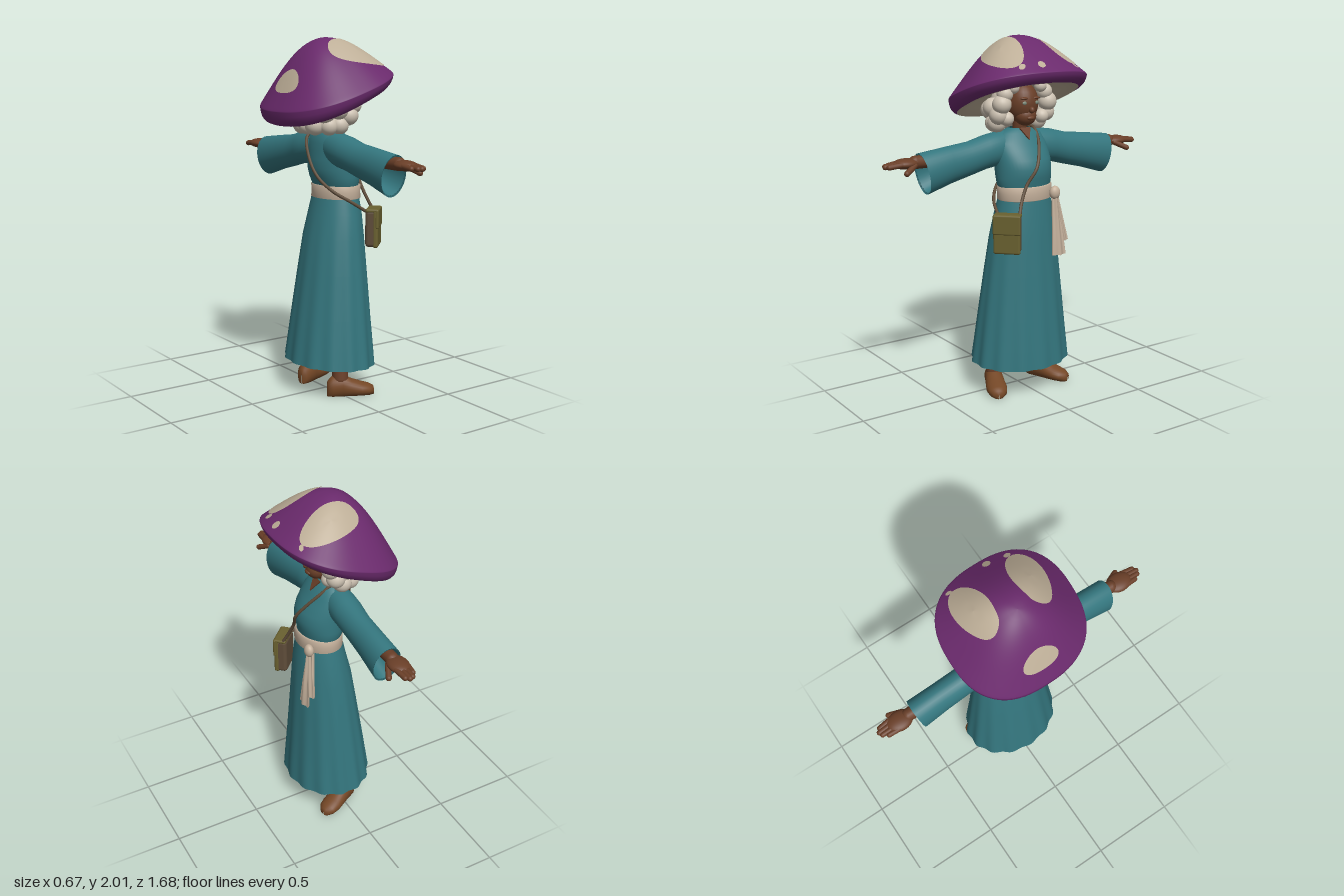
import * as THREE from 'three';
import { RoundedBoxGeometry } from 'three/addons/geometries/RoundedBoxGeometry.js';

const mat = (name, color, side = THREE.FrontSide) => {
  const m = new THREE.MeshStandardMaterial({ color, side });
  m.name = name;
  return m;
};
const V = (x, y, z) => new THREE.Vector3(x, y, z);

export function createModel() {
  const teal = mat('teal cloth', 0x34767e, THREE.DoubleSide);
  const purple = mat('purple cap', 0x6a2a6c);
  const cream = mat('cream cap', 0xbdae97);
  const hairMat = mat('pale hair', 0xcdc2b2);
  const skin = mat('brown skin', 0x6a3f28);
  const shoeMat = mat('brown shoe', 0x744726);
  const olive = mat('olive canvas', 0x6a6130);
  const leather = mat('leather', 0x5f4d3a);
  const linen = mat('linen', 0xc4b09b);
  const eyeMat = mat('grey green eye', 0x7e8c7c);

  // The figure is modelled facing +z, then turned to face +x
  const figure = new THREE.Group();
  figure.name = 'figure';
  figure.rotation.y = Math.PI / 2;
  const root = new THREE.Group();
  root.add(figure);

  const add = (name, geo, material, parent = figure) => {
    const m = new THREE.Mesh(geo, material);
    m.name = name;
    parent.add(m);
    return m;
  };
  // Closed-ring loft: point(ring, angle) gives each position
  const loft = (name, rings, seg, point, material, parent) => {
    const pos = [], idx = [];
    rings.forEach((ring, i) => {
      for (let j = 0; j < seg; j++) {
        pos.push(...point(ring, j / seg * Math.PI * 2).toArray());
        if (i === rings.length - 1) continue;
        const a = i * seg + j, b = i * seg + (j + 1) % seg;
        idx.push(a, b, a + seg, b, b + seg, a + seg);
      }
    });
    const g = new THREE.BufferGeometry();
    g.setAttribute('position', new THREE.Float32BufferAttribute(pos, 3));
    g.setIndex(idx);
    g.computeVertexNormals();
    return add(name, g, material, parent);
  };
  const ball = (name, material, p, s, parent) => {
    const m = add(name, new THREE.SphereGeometry(1, 24, 16), material, parent);
    m.position.set(...p);
    m.scale.set(...s);
    return m;
  };
  const limb = (name, material, a, b, r) => {
    const d = b.clone().sub(a);
    const m = add(name, new THREE.CapsuleGeometry(r, d.length(), 6, 14), material);
    m.position.copy(a).addScaledVector(d, 0.5);
    m.quaternion.setFromUnitVectors(V(0, 1, 0), d.normalize());
    return m;
  };

  // Mushroom hat: tilted rounded-square dome with a rolled rim
  const domeHeight = r => 0.26 * Math.pow(Math.max(0, Math.cos(r * Math.PI / 2)), 1.15)
    + 0.036 * Math.sqrt(Math.max(0, 1 - r * r));
  const hatPoint = (r, a, h) => {
    const s = r / Math.pow(Math.abs(Math.sin(a)) ** 2.5 + Math.abs(Math.cos(a)) ** 2.5, 1 / 2.5);
    if (h < 0) h *= 0.75 - 0.25 * Math.cos(a);
    const z = 0.333 * s * Math.cos(a) - 0.17 * Math.max(h, 0);
    return V(0.37 * s * Math.sin(a), 1.72 + 0.33 * z + h, z);
  };
  const domeRings = [[0.88, -0.09], [0.93, -0.078], [0.97, -0.055], [0.99, -0.028]];
  for (let i = 0; i <= 24; i++) {
    const r = Math.max(0.002, Math.cos(i / 24 * Math.PI / 2));
    domeRings.push([r, domeHeight(r)]);
  }
  loft('hatCap', domeRings, 72, ([r, h], a) => hatPoint(r, a, h), purple);
  loft('hatUnderside', [[0.002, 0.035], [0.4, 0.025], [0.58, -0.01], [0.7, -0.055], [0.79, -0.083], [0.88, -0.09]],
    72, ([r, h], a) => hatPoint(r, a, h), cream);
  // Spots: centre and radii in the unit disc of the cap
  [[0.43, 0.32, 0.22, 0.44], [-0.42, 0.32, 0.25, 0.44], [0, -0.69, 0.27, 0.13],
    [-0.11, 0.88, 0.06, 0.05], [-0.4, 0.8, 0.05, 0.04], [0.5, 0.77, 0.04, 0.03]].forEach(([cx, cz, rx, rz]) => {
    loft('hatSpot', [1, 0.85, 0.7, 0.5, 0.3, 0.002], 40, (k, a) => {
      const x = cx + k * rx * Math.sin(a), z = cz + k * rz * Math.cos(a), r = Math.min(0.985, Math.hypot(x, z));
      return hatPoint(r, Math.atan2(x, z), domeHeight(r) + 0.005);
    }, cream);
  });

  // Head and face
  ball('head', skin, [0, 1.645, 0.04], [0.09, 0.115, 0.097]);
  ball('jaw', skin, [0, 1.575, 0.075], [0.062, 0.055, 0.058]);
  ball('nose', skin, [0, 1.612, 0.137], [0.015, 0.018, 0.018]);
  ball('mouth', skin, [0, 1.567, 0.128], [0.025, 0.012, 0.012]);
  limb('neck', skin, V(0, 1.44, 0.01), V(0, 1.57, 0.03), 0.04);
  for (const s of [-1, 1]) {
    ball('eye', eyeMat, [s * 0.038, 1.65, 0.126], [0.015, 0.01, 0.006]);
    ball('brow', skin, [s * 0.038, 1.675, 0.122], [0.025, 0.008, 0.012]);
  }

  // Curly hair
  ball('hairBack', hairMat, [0, 1.635, -0.045], [0.135, 0.13, 0.1]);
  [[0.13, 1.7, 0.07, 0.045], [0.15, 1.645, 0.07, 0.053], [0.155, 1.585, 0.045, 0.052], [0.115, 1.565, 0.065, 0.04],
    [0.135, 1.535, -0.005, 0.052], [0.15, 1.62, -0.02, 0.055], [0.115, 1.53, -0.06, 0.052], [0.12, 1.6, -0.09, 0.055],
    [0.06, 1.535, -0.115, 0.057], [0.065, 1.6, -0.12, 0.05], [0.09, 1.735, 0.09, 0.035]].forEach(([x, y, z, r]) => {
    for (const s of [-1, 1]) ball('curl', hairMat, [s * x, y, z], [r, r, r]);
  });
  ball('curl', hairMat, [0, 1.53, -0.125], [0.05, 0.05, 0.05]);

  // Blouse and skirt: rings of [y, half width, centre z, half depth, fold]
  const bodyRing = ([y, rx, zc, rz, fold = 0], a) => {
    const k = 1 + fold * Math.cos(14 * a);
    return V(rx * k * Math.sin(a), y - fold * 0.5 * Math.cos(a), zc + rz * k * Math.cos(a));
  };
  loft('blouse', [[1.17, 0.148, 0.065, 0.11], [1.2, 0.163, 0.062, 0.115], [1.24, 0.166, 0.058, 0.13],
    [1.29, 0.166, 0.053, 0.14], [1.34, 0.165, 0.047, 0.132], [1.39, 0.165, 0.032, 0.114],
    [1.43, 0.162, 0.02, 0.098], [1.48, 0.13, 0.01, 0.078], [1.505, 0.06, 0.01, 0.05]], 48, bodyRing, teal);
  loft('skirt', [[0.172, 0.293, 0.022, 0.238, 0.022], [0.28, 0.28, 0.026, 0.227, 0.018], [0.45, 0.26, 0.031, 0.208, 0.013],
    [0.7, 0.23, 0.041, 0.18, 0.008], [0.9, 0.203, 0.05, 0.158, 0.004], [1.03, 0.18, 0.06, 0.137],
    [1.15, 0.15, 0.065, 0.117]], 112, bodyRing, teal);
  loft('belt', [[1.115, 0.155, 0.067, 0.118], [1.12, 0.164, 0.067, 0.126], [1.155, 0.162, 0.067, 0.124],
    [1.19, 0.164, 0.067, 0.126], [1.195, 0.15, 0.067, 0.115]], 48, bodyRing, linen);
  // Open neckline
  const vee = new THREE.Shape([new THREE.Vector2(-0.036, 0), new THREE.Vector2(0, -0.075), new THREE.Vector2(0.036, 0)]);
  const neckline = add('neckline', new THREE.ExtrudeGeometry(vee, { depth: 0.008, bevelEnabled: false }), skin);
  neckline.position.set(0, 1.505, 0.068);
  neckline.rotation.x = -0.62;

  // Sash knot and hanging ends: rings of [y, centre x, half width, z]
  ball('sashKnot', linen, [0.12, 1.15, 0.19], [0.032, 0.038, 0.026]);
  const sashEnd = (rings) => loft('sashEnd', rings, 32, ([y, x, w, z], a) =>
    V(x + w * Math.sin(a), y, z + 0.012 * Math.cos(a) + 0.006 * Math.cos(5 * Math.sin(a))), linen);
  sashEnd([[0.8, 0.125, 0.001, 0.226], [0.802, 0.125, 0.047, 0.226], [0.95, 0.122, 0.033, 0.212], [1.14, 0.12, 0.018, 0.188]]);
  sashEnd([[0.875, 0.172, 0.001, 0.208], [0.877, 0.172, 0.028, 0.208], [1.0, 0.15, 0.024, 0.196], [1.14, 0.13, 0.016, 0.182]]);

  for (const s of [-1, 1]) {
    // Wide sleeves: [x, top, bottom, half depth, cuff slant]
    loft('sleeve', [[0.07, 1.495, 1.32, 0.07, 0], [0.15, 1.488, 1.3, 0.083, 0], [0.22, 1.477, 1.29, 0.082, 0],
      [0.32, 1.45, 1.265, 0.075, 0.005], [0.45, 1.435, 1.235, 0.076, 0.012], [0.607, 1.415, 1.19, 0.081, 0.022],
      [0.6, 1.405, 1.2, 0.073, 0.022], [0.45, 1.42, 1.25, 0.066, 0.012]], 32,
    ([x, t, b, rz, slant], a) => V(s * (x + slant * Math.cos(a)), (t + b) / 2 + (t - b) / 2 * Math.cos(a), s * rz * Math.sin(a)), teal);

    // Forearm and hand
    limb('forearm', skin, V(s * 0.4, 1.37, 0), V(s * 0.65, 1.37, 0), 0.036);
    ball('palm', skin, [s * 0.705, 1.368, -0.003], [0.075, 0.028, 0.056]);
    for (let f = 0; f < 4; f++) {
      const z = 0.032 - f * 0.024;
      limb('finger', skin, V(s * 0.73, 1.37, z), V(s * [0.812, 0.826, 0.818, 0.79][f], 1.362, z * 0.8 - 0.003), 0.0145);
    }
    limb('thumb', skin, V(s * 0.67, 1.36, 0.035), V(s * 0.735, 1.328, 0.068), 0.0155);

    // Leg and shoe, toes turned out
    limb('leg', skin, V(s * 0.1, 0.7, 0.01), V(s * 0.158, 0.1, -0.012), 0.046);
    const shoe = loft('shoe', [[-0.085, 0.002, 0.06], [-0.08, 0.03, 0.09], [-0.055, 0.046, 0.115], [0, 0.051, 0.125],
      [0.05, 0.055, 0.098], [0.11, 0.06, 0.075], [0.155, 0.052, 0.062], [0.182, 0.03, 0.048], [0.188, 0.002, 0.025]], 28,
    ([z, w, h], a) => V(w * Math.cos(a), Math.max(0, h * (0.45 + 0.55 * Math.sin(a))), z), shoeMat);
    shoe.position.set(s * 0.163, 0, -0.005);
    shoe.rotation.y = s * 0.42;
  }

  // Shoulder bag on the right hip
  const bag = new THREE.Group();
  bag.name = 'bag';
  bag.position.set(-0.19, 0.957, 0.185);
  bag.rotation.y = -Math.PI / 4;
  figure.add(bag);
  add('bagBody', new RoundedBoxGeometry(0.145, 0.21, 0.066, 3, 0.02), leather, bag);
  add('bagFront', new RoundedBoxGeometry(0.15, 0.215, 0.03, 3, 0.012), olive, bag).position.z = 0.026;
  add('bagFlap', new RoundedBoxGeometry(0.154, 0.11, 0.02, 3, 0.009), olive, bag).position.set(0, 0.055, 0.035);
  add('bagLid', new RoundedBoxGeometry(0.15, 0.02, 0.07, 3, 0.009), olive, bag).position.set(0, 0.102, 0.005);

  // Strap over the left shoulder, front and back
  const strap = [[-0.14, 1.05, 0.225], [-0.11, 1.12, 0.2], [-0.065, 1.21, 0.185], [-0.01, 1.3, 0.2], [0.04, 1.39, 0.15],
    [0.075, 1.46, 0.085], [0.085, 1.503, 0.02], [0.08, 1.46, -0.072], [0.04, 1.36, -0.092], [-0.03, 1.25, -0.083],
    [-0.12, 1.17, -0.04], [-0.185, 1.11, 0.04], [-0.215, 1.05, 0.13]].map(p => V(...p));
  add('bagStrap', new THREE.TubeGeometry(new THREE.CatmullRomCurve3(strap), 90, 0.009, 8), leather);

  return root;
}
